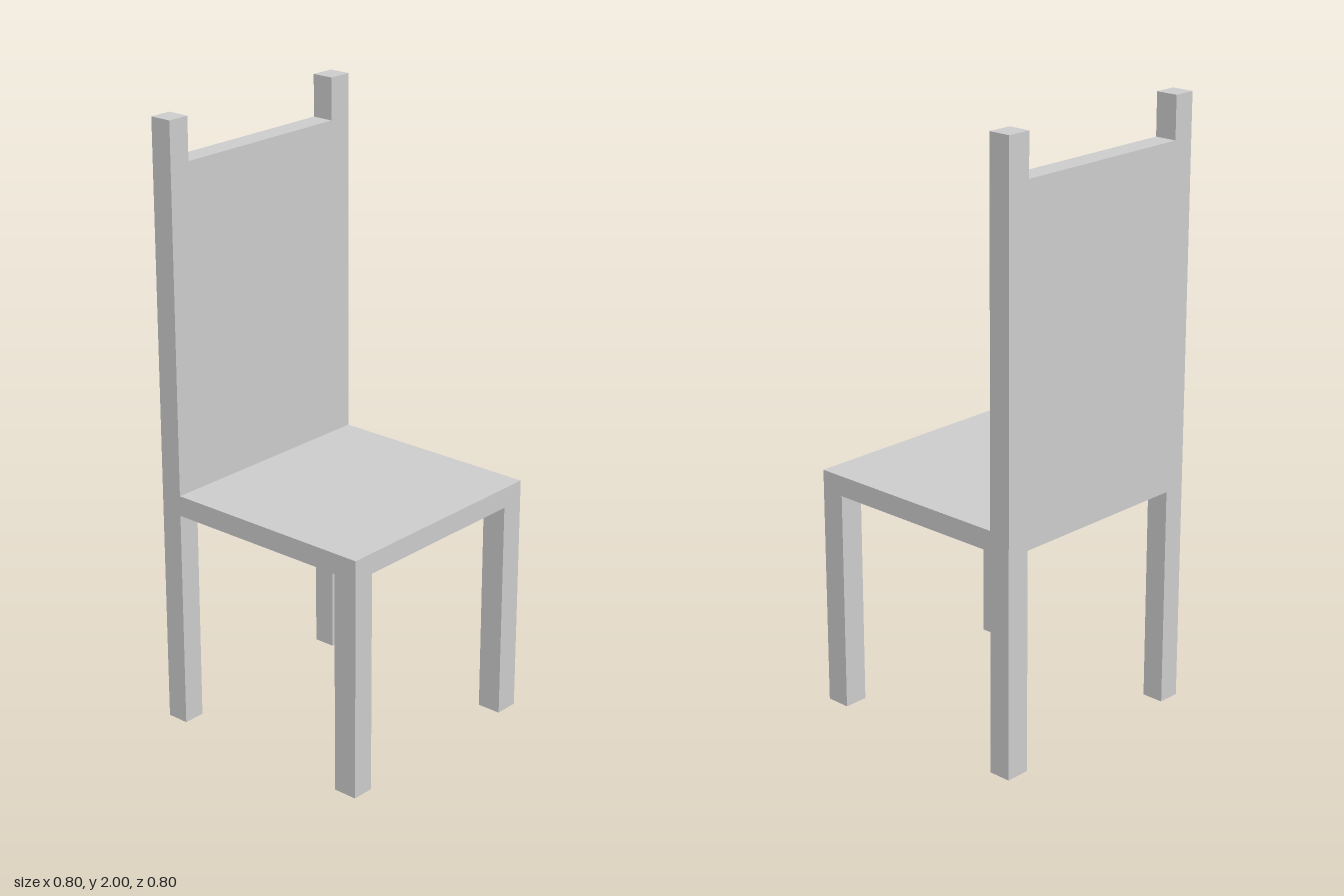
import * as THREE from 'three';

const HALF = 0.4;          // half width and depth
const IN_MIN = -0.325;     // inner faces of the posts on the -x and +z sides
const IN_MAX = 0.318;      // inner faces of the legs on the +x and -z sides
const SEAT_BOTTOM = 0.733, SEAT_TOP = 0.8, PANEL_TOP = 1.862, TOP = 2;

export function createModel() {
  const chair = new THREE.Group();
  chair.name = 'chair';
  const material = new THREE.MeshStandardMaterial({ color: 0xcccccc, flatShading: true });

  // Box given by its lower and upper limits on each axis
  const addBox = (name, [x0, x1], [y0, y1], [z0, z1]) => {
    const mesh = new THREE.Mesh(new THREE.BoxGeometry(x1 - x0, y1 - y0, z1 - z0), material);
    mesh.position.set((x0 + x1) / 2, (y0 + y1) / 2, (z0 + z1) / 2);
    mesh.name = name;
    chair.add(mesh);
  };

  const backX = [-HALF, IN_MIN], frontX = [IN_MAX, HALF];
  const sides = { near: [-IN_MIN, HALF], far: [-HALF, -IN_MAX] };

  // Legs, and the posts that carry the rear legs up past the backrest
  for (const [side, z] of Object.entries(sides)) {
    addBox(`${side}FrontLeg`, frontX, [0, SEAT_BOTTOM], z);
    addBox(`${side}RearLeg`, backX, [0, SEAT_BOTTOM], z);
    addBox(`${side}BackPost`, backX, [SEAT_TOP, TOP], z);
  }

  // Seat slab and backrest panel, flush with the posts
  addBox('seat', [-HALF, HALF], [SEAT_BOTTOM, SEAT_TOP], [-HALF, HALF]);
  addBox('backrestPanel', backX, [SEAT_TOP, PANEL_TOP], [-IN_MAX, -IN_MIN]);

  return chair;
}
